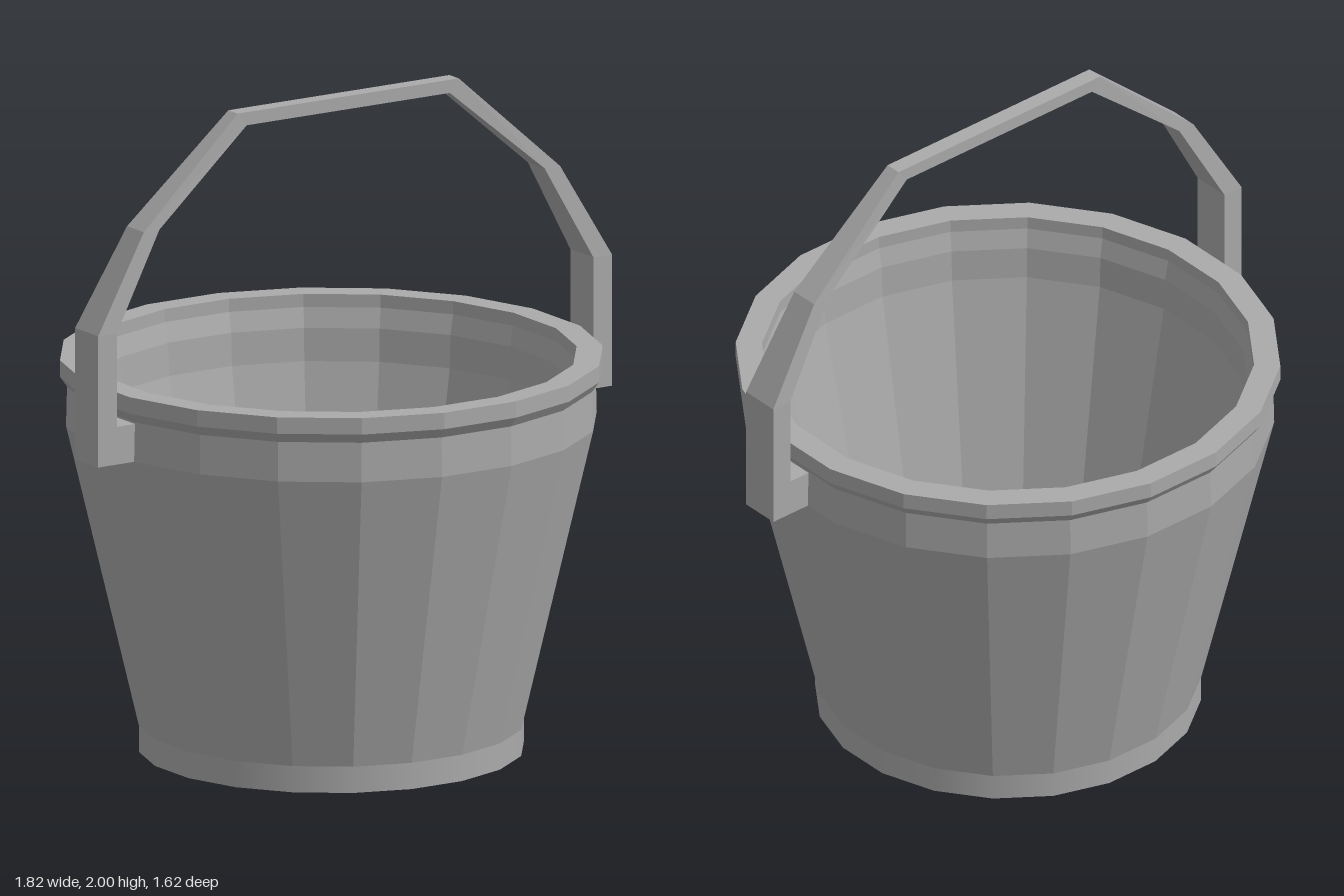
import * as THREE from 'three';

const SIDES = 20;

// Gives every triangle its own normal for a low-poly look
function facet(geometry) {
  const g = geometry.index ? geometry.toNonIndexed() : geometry;
  g.computeVertexNormals();
  return g;
}

function lathe(profile) {
  return new THREE.LatheGeometry(profile.map(([r, y]) => new THREE.Vector2(r, y)), SIDES);
}

// Tapered four-sided strap through sections [outerX, outerY, innerX, innerY, halfWidth]
function strap(sections) {
  const corners = sections.map(([ox, oy, ix, iy, w]) => [
    [ox, oy, w], [ox, oy, -w], [ix, iy, -w], [ix, iy, w],
  ]);
  const pos = [];
  const quad = (a, b, c, d) => [a, b, c, a, c, d].forEach((p) => pos.push(...p));
  for (let i = 0; i < corners.length - 1; i++) {
    const a = corners[i], b = corners[i + 1];
    for (let k = 0; k < 4; k++) {
      const n = (k + 1) % 4;
      quad(a[k], a[n], b[n], b[k]);
    }
  }
  quad(...[...corners[0]].reverse());
  quad(...corners[corners.length - 1]);
  const g = new THREE.BufferGeometry();
  g.setAttribute('position', new THREE.Float32BufferAttribute(pos, 3));
  return facet(g);
}

export function createModel() {
  const model = new THREE.Group();
  model.name = 'bucket';
  const metal = new THREE.MeshStandardMaterial({ color: 0xaaaaaa });
  metal.name = 'grey metal';

  const add = (parent, name, geometry) => {
    const mesh = new THREE.Mesh(geometry, metal);
    mesh.name = name;
    parent.add(mesh);
    return mesh;
  };

  // Vessel: outside wall, rim, inside wall and floor
  const vessel = new THREE.Group();
  vessel.name = 'vessel';
  vessel.position.x = 0.006;
  model.add(vessel);
  add(vessel, 'wall', facet(lathe([
    [0.573, 0.08], [0.79, 1.0], [0.787, 1.12], [0.808, 1.15], [0.808, 1.2],
    [0.73, 1.2], [0.73, 1.16], [0.715, 1.1], [0.71, 1.0], [0.52, 0.08], [0, 0.08],
  ])));
  add(vessel, 'baseBand', lathe([[0.573, 0], [0.573, 0.08]]));
  add(vessel, 'underside', facet(lathe([[0, 0], [0.573, 0]])));

  // Handle: swung slightly around the vertical axis
  const handle = new THREE.Group();
  handle.name = 'handle';
  handle.rotation.y = THREE.MathUtils.degToRad(-9);
  handle.position.z = 0.06;
  model.add(handle);
  const half = [
    [0.911, 1.0, 0.845, 1.0, 0.062],
    [0.911, 1.4, 0.845, 1.4, 0.062],
    [0.738, 1.69, 0.683, 1.69, 0.045],
    [0.392, 2.0, 0.36, 1.96, 0.025],
  ];
  const mirrored = half.map(([ox, oy, ix, iy, w]) => [-ox, oy, -ix, iy, w]).reverse();
  add(handle, 'bail', strap([...half, ...mirrored]));

  // Feet joining the handle to the wall
  for (const s of [1, -1]) {
    const foot = add(handle, s > 0 ? 'leftFoot' : 'rightFoot',
      new THREE.BoxGeometry(0.075, 0.115, 0.124));
    foot.position.set(s * 0.8095, 1.0575, 0);
  }
  return model;
}
